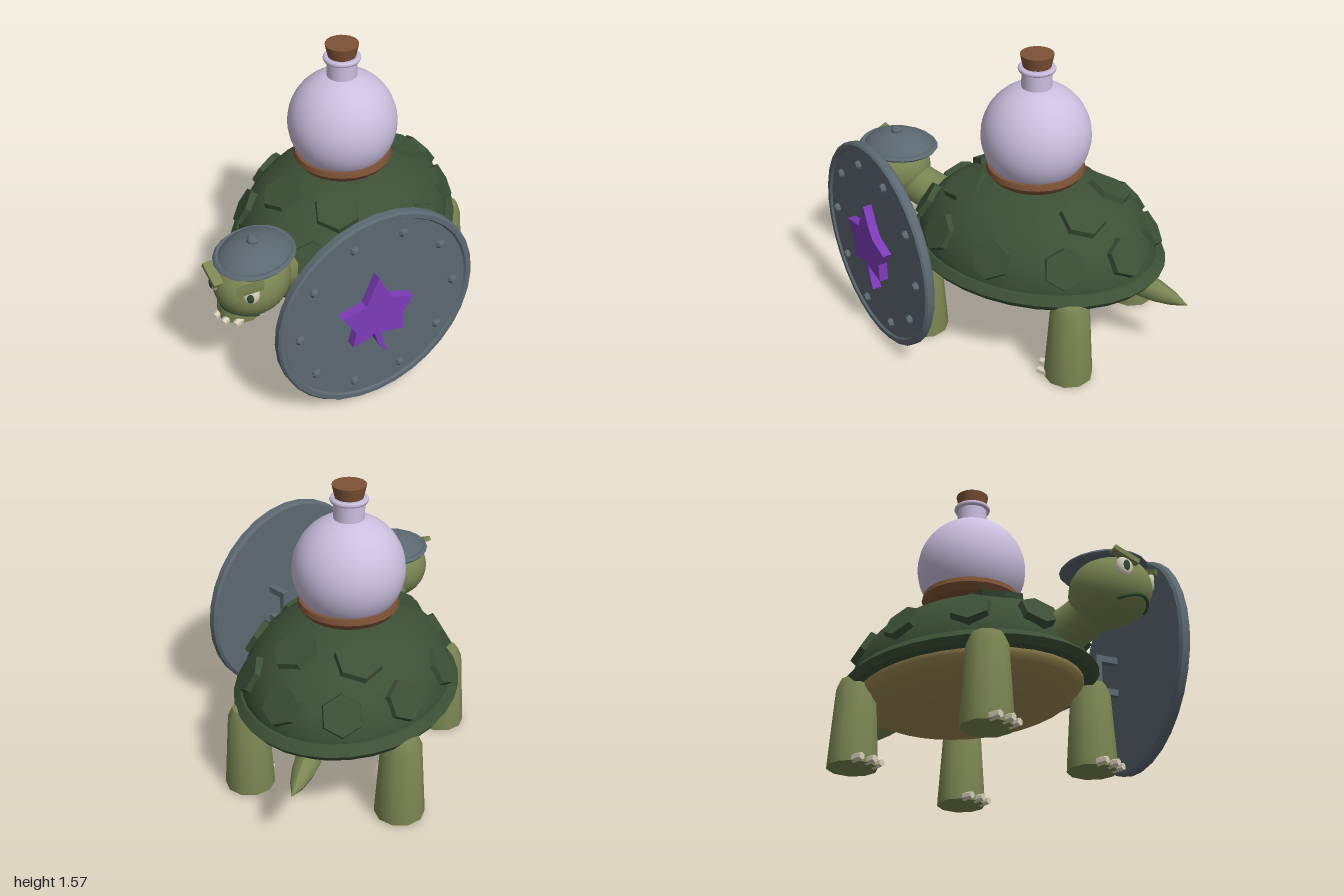
import * as THREE from 'three';
import { toCreasedNormals } from 'three/addons/utils/BufferGeometryUtils.js';

const CX = -0.14, CZ = -0.12; // centre of the shell

function material(name, color) {
  const m = new THREE.MeshStandardMaterial({ color });
  m.name = name;
  return m;
}

export function createModel() {
  const model = new THREE.Group();
  model.name = 'armouredTurtle';

  const shellGreen = material('shellGreen', 0x3c5036);
  const skin = material('oliveSkin', 0x7a8552);
  const bellyTan = material('bellyTan', 0x9c8852);
  const wood = material('brownWood', 0x7d5236);
  const steel = material('steel', 0x5c6871);
  const lilac = material('lilacGlass', 0xcabfdf);
  const purple = material('purple', 0x7d3bb8);
  const cream = material('cream', 0xd8d0bc);
  const dark = material('darkGreen', 0x2f4a33);

  const add = (name, geo, mat, pos = [0, 0, 0], parent = model) => {
    const mesh = new THREE.Mesh(geo, mat);
    mesh.name = name;
    mesh.position.set(...pos);
    parent.add(mesh);
    return mesh;
  };
  const lathe = (pts, segs, crease = 0.6) => toCreasedNormals(
    new THREE.LatheGeometry(pts.map(p => new THREE.Vector2(...p)), segs), crease);
  const ball = (rx, ry, rz, w = 24, h = 16) => new THREE.SphereGeometry(1, w, h).scale(rx, ry, rz);

  // Shell dome, rim and belly
  const dome = new THREE.SphereGeometry(1, 32, 12, 0, Math.PI * 2, 0, Math.PI / 2).scale(0.53, 0.4, 0.66);
  add('shellDome', dome, shellGreen, [CX, 0.5, CZ]);
  const rim = lathe([[0.8, 0.445], [0.96, 0.445], [1, 0.48], [0.945, 0.52], [0.9, 0.525]], 32, 0.3);
  add('shellRim', rim.scale(0.57, 1, 0.71), shellGreen, [CX, 0, CZ]);
  const belly = new THREE.SphereGeometry(1, 32, 10, 0, Math.PI * 2, Math.PI / 2, Math.PI / 2);
  add('belly', belly.scale(0.5, 0.17, 0.63), bellyTan, [CX, 0.45, CZ]);

  // Hexagonal plates lying on the dome
  const scute = (angle, height, radius) => {
    const s = Math.sqrt(1 - height * height);
    const p = new THREE.Vector3(0.53 * s * Math.cos(angle), 0.4 * height, 0.66 * s * Math.sin(angle));
    const n = new THREE.Vector3(p.x / 0.53 ** 2, p.y / 0.4 ** 2, p.z / 0.66 ** 2).normalize();
    const t = new THREE.Vector3(0, 1, 0).cross(n).normalize();
    const geo = new THREE.CylinderGeometry(radius * 0.93, radius, 0.05, 6).toNonIndexed();
    geo.computeVertexNormals();
    const mesh = add('shellPlate', geo, shellGreen);
    mesh.quaternion.setFromRotationMatrix(new THREE.Matrix4().makeBasis(t, n, t.clone().cross(n)));
    mesh.position.set(CX, 0.5, CZ).add(p).addScaledVector(n, -0.005);
  };
  for (let i = 0; i < 10; i++) scute(i * Math.PI / 5, 0.38, 0.11);
  for (const deg of [60, 120, 240, 300]) scute(deg * Math.PI / 180, 0.8, 0.125);

  // Legs with three toes each
  const legGeo = lathe([[0, 0.02], [0.128, 0.02], [0.126, 0.06], [0.102, 0.43], [0.08, 0.48], [0, 0.495]], 10, 0.7);
  const toeGeo = toCreasedNormals(new THREE.CylinderGeometry(0.019, 0.024, 0.06, 6), 0.3).rotateX(Math.PI / 2);
  for (const side of [-1, 1]) for (const z of [0.35, -0.52]) {
    const leg = new THREE.Group();
    leg.name = z > 0 ? 'frontLeg' : 'backLeg';
    leg.position.set(CX + side * 0.4, 0, z);
    add('legColumn', legGeo, skin, [0, 0, 0], leg);
    for (const k of [-1, 0, 1]) add('toe', toeGeo, cream, [k * 0.067, 0.036, k ? 0.11 : 0.13], leg);
    model.add(leg);
  }

  // Tail: a tapering cone that droops, then levels out
  const tail = new THREE.LatheGeometry([[0.07, 0], [0.068, 0.12], [0.058, 0.22], [0.036, 0.31], [0, 0.39]]
    .map(p => new THREE.Vector2(...p)), 8).rotateX(-Math.PI / 2);
  const tp = tail.attributes.position;
  for (let i = 0; i < tp.count; i++) {
    const d = -tp.getZ(i) / 0.39;
    tp.setY(i, tp.getY(i) - 0.075 * d);
  }
  tail.computeVertexNormals();
  add('tail', tail, skin, [CX, 0.435, -0.61]);

  // Neck and head
  const neckPath = new THREE.CatmullRomCurve3([
    new THREE.Vector3(CX, 0.57, 0.35), new THREE.Vector3(CX, 0.61, 0.55), new THREE.Vector3(CX, 0.68, 0.72)]);
  add('neck', new THREE.TubeGeometry(neckPath, 8, 0.112, 12), skin);
  add('head', ball(0.185, 0.172, 0.208), skin, [CX, 0.717, 0.772]);

  // Eyes, brows and frown
  for (const s of [-1, 1]) {
    const eye = new THREE.Group();
    eye.name = 'eye';
    eye.position.set(CX + s * 0.1, 0.762, 0.925);
    eye.rotation.y = s * 0.5;
    add('eyeball', ball(0.043, 0.055, 0.032, 14, 10), cream, [0, 0, 0], eye);
    add('pupil', ball(0.017, 0.027, 0.006, 12, 8), dark, [0, -0.002, 0.03], eye);
    const brow = add('brow', new THREE.BoxGeometry(0.135, 0.024, 0.05), skin, [0, 0.05, 0.015], eye);
    brow.rotation.z = s * 0.42;
    model.add(eye);
  }
  const mouthPoint = (x, y) => {
    const q = 1 - (x / 0.185) ** 2 - ((y - 0.717) / 0.172) ** 2;
    return new THREE.Vector3(CX + x, y, 0.772 + 0.208 * Math.sqrt(Math.max(q, 0)));
  };
  const mouth = new THREE.CatmullRomCurve3([-0.108, -0.085, -0.045, 0, 0.045, 0.085, 0.108]
    .map(x => mouthPoint(x, 0.64 - 2.4 * x * x)));
  add('mouth', new THREE.TubeGeometry(mouth, 20, 0.009, 6), dark);

  // Helmet with brim and knob
  const helmet = lathe([[0, 0.835], [0.185, 0.835], [0.194, 0.846], [0.182, 0.86], [0.168, 0.856],
    [0.15, 0.878], [0.11, 0.902], [0.06, 0.92], [0, 0.926]], 20, 0.5);
  add('helmet', helmet.scale(1, 1, 1.15), steel, [CX, 0, 0.737]);
  add('helmetKnob', lathe([[0.03, -0.02], [0.032, 0.005], [0.018, 0.02], [0, 0.022]], 8), steel, [CX, 0.93, 0.745]);

  // Flask on the back with its stand and cork
  add('flaskBody', ball(0.285, 0.285, 0.285, 32, 24), lilac, [CX, 1.13, -0.11]);
  add('flaskNeck', new THREE.CylinderGeometry(0.078, 0.078, 0.14, 24), lilac, [CX, 1.445, -0.11]);
  add('flaskLip', new THREE.TorusGeometry(0.083, 0.014, 8, 24).rotateX(Math.PI / 2), lilac, [CX, 1.502, -0.11]);
  add('cork', new THREE.CylinderGeometry(0.086, 0.07, 0.075, 20), wood, [CX, 1.543, -0.11]);
  add('flaskStand', lathe([[0.19, 0.89], [0.232, 0.905], [0.258, 0.94], [0.252, 0.968], [0.2, 0.968]], 24, 0.4),
    wood, [CX, 0, -0.11]);

  // Shield, facing outward and forward
  const shield = new THREE.Group();
  shield.name = 'shield';
  shield.position.set(0.413, 0.577, 0.52);
  shield.rotation.y = 61 * Math.PI / 180;
  model.add(shield);
  const disc = lathe([[0, -0.03], [0.54, -0.03], [0.554, -0.018], [0.554, 0.015], [0.544, 0.025],
    [0.52, 0.025], [0.512, 0.014], [0, 0.014]], 32, 0.4);
  add('shieldDisc', disc.rotateX(Math.PI / 2), steel, [0, 0, 0], shield);
  const rivet = lathe([[0.024, 0], [0.024, 0.012], [0.014, 0.026], [0, 0.028]], 8).rotateX(Math.PI / 2);
  for (let i = 0; i < 10; i++) {
    const a = i * Math.PI / 5;
    add('rivet', rivet, steel, [0.437 * Math.cos(a), 0.437 * Math.sin(a), 0.012], shield);
  }

  // Leaf emblem with a curved stem
  const leaf = new THREE.Shape([[0, 0.235], [-0.04, 0.145], [-0.07, 0.085], [-0.2, 0.06], [-0.155, -0.01],
    [-0.125, -0.06], [-0.145, -0.14], [-0.07, -0.13], [-0.022, -0.105], [-0.005, -0.17], [0.03, -0.235],
    [0.055, -0.25], [0.03, -0.185], [0.015, -0.115], [0.08, -0.13], [0.145, -0.145], [0.14, -0.045],
    [0.2, 0.04], [0.085, 0.08], [0.045, 0.14]].map(p => new THREE.Vector2(...p)));
  add('leaf', new THREE.ExtrudeGeometry(leaf, { depth: 0.05, bevelEnabled: false }), purple, [-0.025, 0, 0.012], shield);

  // Handle behind the shield
  for (const y of [-0.09, 0.09])
    add('handleStrut', new THREE.BoxGeometry(0.035, 0.035, 0.12), steel, [0.144, y, -0.085], shield);
  add('handleGrip', new THREE.BoxGeometry(0.035, 0.22, 0.03), steel, [0.144, 0, -0.135], shield);

  // Stand on the ground
  model.position.y = -new THREE.Box3().setFromObject(model, true).min.y;
  return model;
}
